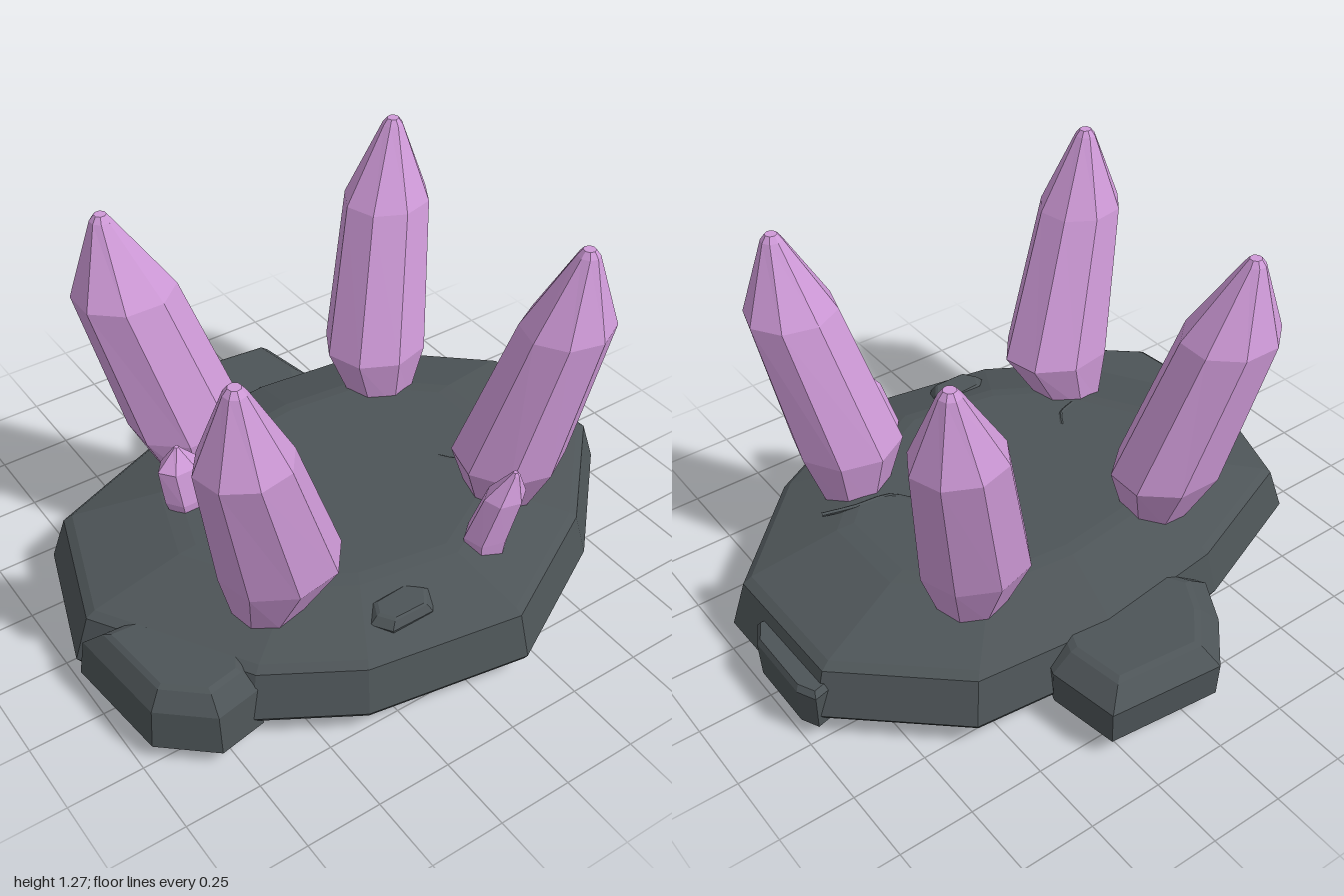
import * as THREE from 'three';

const rock = new THREE.MeshStandardMaterial({ color: 0x4d5457 });
const crystal = new THREE.MeshStandardMaterial({ color: 0xcf9ad8 });
rock.name = 'slate rock';
crystal.name = 'lilac crystal';
rock.flatShading = crystal.flatShading = true;

// Skin a stack of rings (each an array of [x, y, z]) and close both ends.
function loft(name, rings, material) {
  const n = rings[0].length, pos = rings.flat(2), idx = [];
  for (let r = 0; r < rings.length - 1; r++) {
    for (let i = 0; i < n; i++) {
      const j = (i + 1) % n, a = r * n + i, b = r * n + j;
      idx.push(a, a + n, b + n, a, b + n, b);
    }
  }
  [0, rings.length - 1].forEach((r, end) => {
    const c = pos.length / 3;
    for (let k = 0; k < 3; k++) pos.push(rings[r].reduce((s, p) => s + p[k], 0) / n);
    for (let i = 0; i < n; i++) {
      const a = r * n + i, b = r * n + (i + 1) % n;
      idx.push(...(end ? [c, b, a] : [c, a, b]));
    }
  });
  const indexed = new THREE.BufferGeometry();
  indexed.setAttribute('position', new THREE.Float32BufferAttribute(pos, 3));
  indexed.setIndex(idx);
  const geo = indexed.toNonIndexed();
  geo.computeVertexNormals();
  const mesh = new THREE.Mesh(geo, material);
  mesh.name = name;
  return mesh;
}

// Boulder: an [x, z] outline scaled about a centre at each [y, scale] level.
function boulder(name, outline, [cx, cz], levels) {
  return loft(name, levels.map(([y, s]) =>
    outline.map(([x, z]) => [cx + (x - cx) * s, y, cz + (z - cz) * s])), rock);
}

// Leaning crystal: each level is [y, centre x, centre z, radius x, radius z].
function shard(name, sides, turn, levels) {
  return loft(name, levels.map(([y, cx, cz, rx, rz]) =>
    Array.from({ length: sides }, (_, i) => {
      const a = turn + (i / sides) * Math.PI * 2;
      return [cx + Math.cos(a) * rx, y, cz + Math.sin(a) * rz];
    })), crystal);
}

// Thin raised ridge lying on the plateau.
function ridge(name, points) {
  const curve = new THREE.CatmullRomCurve3(points.map(([x, z]) => new THREE.Vector3(x, 0.348, z)));
  const mesh = new THREE.Mesh(new THREE.TubeGeometry(curve, 8, 0.008, 5), rock);
  mesh.name = name;
  return mesh;
}

export function createModel() {
  const group = new THREE.Group();
  group.name = 'crystalOutcrop';

  // Broad slab with a sloping shoulder
  const slab = [[0.11, -0.62], [0.6, -0.57], [0.97, -0.24], [0.98, 0.26], [0.62, 0.62], [0.16, 0.87],
    [-0.38, 0.78], [-0.68, 0.6], [-1, 0.09], [-0.85, -0.37], [-0.37, -0.56]];
  group.add(boulder('baseSlab', slab, [0, 0.1],
    [[0, 0.7], [0.08, 0.985], [0.1, 1], [0.25, 0.95], [0.27, 0.92], [0.345, 0.62], [0.352, 0.56]]));

  // Boulders around the rim
  group.add(boulder('backBoulder',
    [[-0.3, -0.58], [-0.22, -0.73], [-0.09, -0.88], [0.3, -0.84], [0.34, -0.6], [0.28, -0.45], [-0.22, -0.45]],
    [0.05, -0.62], [[0.02, 0.75], [0.07, 0.98], [0.19, 1], [0.25, 0.78], [0.26, 0.7]]));
  group.add(boulder('rightBoulder',
    [[-0.55, 0.45], [-0.64, 0.6], [-0.8, 0.63], [-0.96, 0.49], [-1, 0.11], [-0.86, 0.12]],
    [-0.78, 0.4], [[0.02, 0.8], [0.06, 1], [0.2, 0.94], [0.26, 0.74], [0.27, 0.66]]));
  group.add(boulder('leftBoulder',
    [[0.8, -0.22], [0.97, -0.26], [1, -0.2], [1, 0.05], [0.96, 0.12], [0.8, 0.1]],
    [0.88, -0.06], [[0.02, 0.75], [0.06, 0.96], [0.19, 1], [0.21, 0.92]]));
  group.add(boulder('pebble',
    [[-0.25, 0.58], [-0.1, 0.57], [-0.04, 0.63], [-0.09, 0.7], [-0.24, 0.7], [-0.28, 0.64]],
    [-0.16, 0.635], [[0.27, 0.85], [0.3, 1], [0.325, 0.8], [0.33, 0.7]]));

  // Ridges beside the crystals
  group.add(ridge('rightRidge', [[-0.42, 0.28], [-0.35, 0.255], [-0.31, 0.2]]));
  group.add(ridge('leftRidge', [[0.33, 0.18], [0.38, 0.24], [0.5, 0.26], [0.61, 0.29]]));

  // Four large crystals leaning outward
  const large = [
    ['frontRightCrystal', 0.2, [-0.49, 0.39], [-0.46, 0.43], [-0.61, 0.5], [-0.635, 0.51], 0.2, 0.17, 0.15, 0.135],
    ['frontLeftCrystal', 0.65, [0.43, 0.39], [0.42, 0.42], [0.53, 0.51], [0.555, 0.535], 0.185, 0.18, 0.155, 0.14],
    ['backRightCrystal', 0.4, [-0.33, -0.28], [-0.34, -0.32], [-0.48, -0.41], [-0.52, -0.44], 0.2, 0.17, 0.17, 0.15],
    ['backLeftCrystal', 0.1, [0.42, -0.28], [0.42, -0.31], [0.53, -0.41], [0.57, -0.44], 0.185, 0.17, 0.155, 0.14],
  ];
  for (const [name, turn, foot, waist, shoulder, tip, rx, rz, sx, sz] of large) {
    group.add(shard(name, 8, turn, [
      [0.3, ...foot, 0.11, 0.11], [0.5, ...waist, rx, rz], [1, ...shoulder, sx, sz],
      [1.25, ...tip, 0.035, 0.035], [1.27, ...tip, 0.02, 0.02]]));
  }

  // Two small companion crystals
  group.add(shard('smallFrontCrystal', 6, 0.3, [
    [0.28, 0.22, 0.57, 0.07, 0.06], [0.36, 0.22, 0.57, 0.08, 0.07], [0.52, 0.255, 0.6, 0.072, 0.06],
    [0.61, 0.27, 0.62, 0.015, 0.015], [0.62, 0.27, 0.62, 0.008, 0.008]]));
  group.add(shard('smallBackCrystal', 6, 0, [
    [0.32, -0.48, -0.1, 0.055, 0.055], [0.38, -0.48, -0.1, 0.075, 0.06], [0.5, -0.49, -0.115, 0.075, 0.055],
    [0.56, -0.49, -0.12, 0.015, 0.015], [0.57, -0.49, -0.12, 0.008, 0.008]]));

  return group;
}
